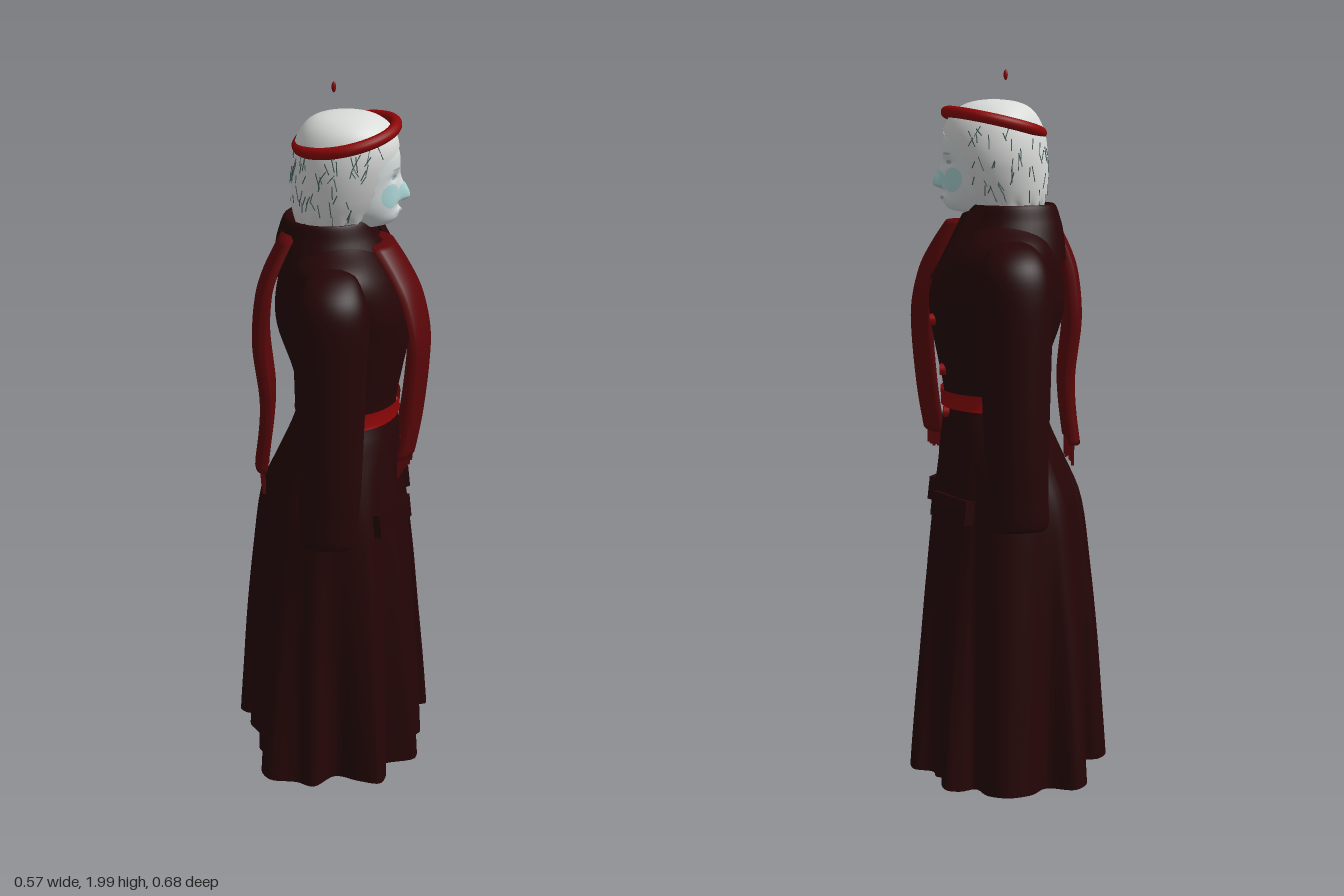
import * as THREE from 'three';

const mat = (name, color) => {
  const m = new THREE.MeshStandardMaterial({ color, side: THREE.DoubleSide });
  m.name = name;
  return m;
};

// Smooth surface from rings that run around u and stack along v
function grid(nu, nv, fn, closed = true) {
  const pos = [], idx = [], cols = closed ? nu : nu + 1;
  for (let j = 0; j <= nv; j++)
    for (let i = 0; i < cols; i++) pos.push(...fn(i / nu, j / nv));
  for (let j = 0; j < nv; j++)
    for (let i = 0; i < nu; i++) {
      const a = j * cols + i, b = j * cols + (i + 1) % cols;
      idx.push(a, b, b + cols, a, b + cols, a + cols);
    }
  const g = new THREE.BufferGeometry();
  g.setAttribute('position', new THREE.Float32BufferAttribute(pos, 3));
  g.setIndex(idx);
  g.computeVertexNormals();
  return g;
}

// Spline through rows of [y, back x, front x, half depth z, centre z]
function profile(rows) {
  const curves = [1, 2, 3, 4].map(k =>
    new THREE.SplineCurve(rows.map(r => new THREE.Vector2(r[k] ?? 0, r[0]))));
  const at = t => [curves[0].getPoint(t).y, ...curves.map(c => c.getPoint(t).x)];
  const atY = y => {
    let lo = 0, hi = 1;
    for (let k = 0; k < 22; k++) {
      const m = (lo + hi) / 2;
      if (curves[0].getPoint(m).y < y) lo = m; else hi = m;
    }
    return at(lo);
  };
  return { at, atY };
}

function ringPoint([y, b, f, h, cz], a, power = 1, bend = 0) {
  const p = v => Math.sign(v) * Math.abs(v) ** power;
  const c = p(Math.cos(a)), s = p(Math.sin(a));
  return [(b + f) / 2 + (f - b) / 2 * c + bend * s * s, y, cz - h * s];
}

function loft(rows, { nu = 40, nv = 32, power = 1, bend = 0, cap = false } = {}) {
  const p = profile(rows);
  return grid(nu, nv, (u, v) => {
    const s = p.at(cap ? THREE.MathUtils.clamp((v * nv - 1) / (nv - 2), 0, 1) : v);
    if (cap && (v === 0 || v === 1)) return [(s[1] + s[2]) / 2 + bend * 0.3, s[0], s[4]];
    return ringPoint(s, u * Math.PI * 2, power, bend);
  });
}

export function createModel() {
  const model = new THREE.Group();
  const coatMat = mat('dark maroon cloth', 0x250506), scarfMat = mat('red scarf', 0x590608);
  const trimMat = mat('bright red trim', 0x8c0607), skinMat = mat('pale skin', 0xd6dcdc);
  const hairMat = mat('white hair', 0xdadcda), tintMat = mat('cyan tint', 0xaed6d8);
  const strandMat = mat('dark teal strands', 0x4a6262), eyeMat = mat('grey features', 0xa3b2b3);
  const add = (name, geo, m, parent = model) => {
    const mesh = new THREE.Mesh(geo, m);
    mesh.name = name;
    parent.add(mesh);
    return mesh;
  };
  let seed = 7;
  const rand = () => (seed = (seed * 16807) % 2147483647) / 2147483647;

  // Coat: fitted bodice flaring into a skirt whose folds deepen toward the hem
  const coat = profile([
    [0.012, -0.25, 0.25, 0.31], [0.2, -0.245, 0.245, 0.3], [0.4, -0.238, 0.235, 0.29], [0.6, -0.225, 0.225, 0.28],
    [0.8, -0.205, 0.208, 0.268], [0.92, -0.16, 0.195, 0.243], [1.02, -0.118, 0.187, 0.21], [1.1, -0.097, 0.178, 0.182],
    [1.2, -0.115, 0.195, 0.192], [1.32, -0.155, 0.218, 0.215], [1.4, -0.16, 0.218, 0.235], [1.48, -0.145, 0.185, 0.245],
    [1.53, -0.125, 0.148, 0.225], [1.57, -0.1, 0.115, 0.15], [1.6, -0.08, 0.1, 0.1]]);
  const hem = new THREE.CatmullRomCurve3([
    [0.235, -0.01], [0.25, -0.06], [0.285, -0.075], [0.28, -0.115], [0.225, -0.13], [0.215, -0.175], [0.175, -0.2],
    [0.205, -0.235], [0.195, -0.265], [0.155, -0.265], [0.11, -0.25], [0.08, -0.31], [0.03, -0.335], [-0.04, -0.31],
    [-0.09, -0.255], [-0.17, -0.282], [-0.205, -0.255], [-0.175, -0.2], [-0.17, -0.15], [-0.2, -0.085], [-0.26, -0.078],
    [-0.287, -0.045], [-0.265, -0.01], [-0.225, 0], [-0.252, 0.035], [-0.22, 0.09], [-0.215, 0.17], [-0.17, 0.21],
    [-0.205, 0.28], [-0.18, 0.315], [-0.1, 0.315], [-0.05, 0.335], [0.01, 0.29], [0.08, 0.32], [0.14, 0.33],
    [0.16, 0.28], [0.15, 0.23], [0.245, 0.21], [0.25, 0.17], [0.215, 0.13], [0.265, 0.07], [0.22, 0.03],
  ].map(([x, z]) => new THREE.Vector3(x, 0, z)), true);
  const hemRow = coat.at(0);
  add('coat', grid(252, 60, (u, v) => {
    const h = hem.getPoint(u), a = Math.atan2(-h.z / hemRow[3], h.x / hemRow[2]);
    const s = coat.at(v), p = ringPoint(s, a), e = ringPoint(hemRow, a);
    const w = THREE.MathUtils.clamp((1 - s[0]) / 0.98, 0, 1) ** 1.1;
    const lift = (0.02 * Math.cos(a) ** 2 + 0.006 * Math.sin(u * 50)) * Math.max(0, 1 - s[0] * 5);
    return [p[0] + (h.x - e[0]) * w, p[1] + lift, p[2] + (h.z - e[2]) * w];
  }), coatMat);

  // Sleeves, sloping in to the shoulders
  for (const side of [-1, 1])
    add(side > 0 ? 'leftSleeve' : 'rightSleeve', loft([
      [0.765, -0.08, 0.065, 0.042, 0.268], [0.785, -0.092, 0.072, 0.05, 0.268], [0.86, -0.09, 0.076, 0.052, 0.27],
      [0.95, -0.09, 0.082, 0.058, 0.27], [1.1, -0.095, 0.088, 0.078, 0.255], [1.3, -0.1, 0.096, 0.082, 0.255],
      [1.4, -0.1, 0.1, 0.08, 0.257], [1.46, -0.092, 0.094, 0.076, 0.252], [1.5, -0.078, 0.08, 0.068, 0.235],
      [1.53, -0.055, 0.06, 0.048, 0.21], [1.545, -0.02, 0.025, 0.02, 0.19],
    ].map(r => [...r.slice(0, 4), r[4] * side]), { cap: true }), coatMat);

  // Turned-down collar and the lapel that shows beside the scarf
  add('collar', loft([[1.48, -0.165, 0.175, 0.18], [1.54, -0.16, 0.15, 0.155], [1.59, -0.15, 0.125, 0.135],
    [1.635, -0.13, 0.105, 0.118], [1.6, -0.1, 0.09, 0.095]]), coatMat);
  const lapelEdge = pts => new THREE.CatmullRomCurve3(pts.map(p => new THREE.Vector3(...p)));
  const inner = lapelEdge([[0.195, 1.44, -0.09], [0.168, 1.51, -0.045], [0.122, 1.6, -0.025]]);
  const outer = lapelEdge([[0.188, 1.435, -0.105], [0.122, 1.52, -0.135], [0.065, 1.63, -0.11]]);
  add('lapel', grid(8, 12, (u, v) => {
    const p = outer.getPoint(v).lerp(inner.getPoint(v), u);
    return [p.x + 0.03 * Math.sin(u * Math.PI), p.y, p.z];
  }, false), coatMat);

  // Belt and buttons
  const beltRow = y => { const s = coat.atY(y); return [y, s[1] - 0.01, s[2] + 0.01, s[3] + 0.01, 0]; };
  add('belt', loft([1.075, 1.085, 1.11, 1.12].map(beltRow), { nv: 6 }), trimMat);
  for (const y of [1.32, 1.18, 1.06]) {
    const s = coat.atY(y);
    const b = add('button', new THREE.CylinderGeometry(0.016, 0.018, 0.022, 12), trimMat);
    b.rotation.z = -Math.PI / 2;
    b.position.set(...ringPoint(s, Math.asin(0.062 / s[3])));
  }

  // Pocket flaps
  for (const side of [-1, 1]) {
    const a = -side * 0.65, s = coat.atY(0.805);
    const pocket = add('pocketFlap', new THREE.BoxGeometry(0.03, 0.068, 0.17), coatMat);
    pocket.position.set(...ringPoint(s, a));
    pocket.rotation.set(0, Math.atan2(Math.sin(a) / s[3], Math.cos(a) / s[2]), 0.12);
  }

  // Scarf ends with fringes, one down the front and one down the back
  const scarfOpt = { power: 0.45, cap: true, nu: 48 };
  add('scarfFront', loft([
    [0.99, 0.205, 0.234, 0.105, 0.09], [1.1, 0.222, 0.252, 0.112, 0.095], [1.25, 0.235, 0.266, 0.118, 0.1],
    [1.35, 0.235, 0.266, 0.118, 0.1], [1.45, 0.21, 0.244, 0.11, 0.09], [1.52, 0.175, 0.21, 0.095, 0.08],
    [1.585, 0.13, 0.168, 0.08, 0.07]], { ...scarfOpt, bend: -0.036 }), scarfMat);
  add('scarfBack', loft([
    [0.945, -0.218, -0.185, 0.1, 0.09], [1.05, -0.205, -0.172, 0.1, 0.09], [1.15, -0.203, -0.168, 0.1, 0.09],
    [1.3, -0.22, -0.182, 0.105, 0.09], [1.42, -0.212, -0.172, 0.1, 0.09], [1.5, -0.19, -0.155, 0.09, 0.085],
    [1.6, -0.14, -0.11, 0.075, 0.07]], { ...scarfOpt, bend: 0.012 }), scarfMat);
  for (const [x, y, len, bend] of [[0.22, 0.99, 0.06, -0.036], [-0.2, 0.945, 0.075, 0.012]])
    for (let i = 0; i < 13; i++) {
      const l = len * (0.75 + 0.25 * rand()), k = i / 6 - 1;
      add('fringe', new THREE.BoxGeometry(0.008, l, 0.007), scarfMat)
        .position.set(x + bend * Math.abs(k) ** 0.9, y - l / 2 + 0.005, 0.09 + k * 0.095);
    }

  // Head with sculpted nose, eye sockets, lips and chin
  const head = profile([
    [1.56, -0.03, 0.09, 0.055, 0.01], [1.605, -0.03, 0.11, 0.05, 0.01], [1.618, -0.03, 0.155, 0.055, 0.01],
    [1.635, -0.04, 0.174, 0.065, 0.01], [1.66, -0.05, 0.174, 0.08, 0.01], [1.69, -0.065, 0.175, 0.09, 0.01],
    [1.73, -0.08, 0.175, 0.097, 0.01], [1.77, -0.09, 0.18, 0.1, 0.01], [1.82, -0.09, 0.174, 0.1, 0.01],
    [1.87, -0.07, 0.14, 0.085, 0.01], [1.9, -0.03, 0.09, 0.04, 0.01]]);
  const gauss = (d, w) => Math.exp(-((d / w) ** 2));
  const sculpt = (s, a) => {
    const p = ringPoint(s, a), [, y, z] = p, d = z - 0.01;
    if (Math.cos(a) > 0) {
      const up = THREE.MathUtils.smoothstep(y, 1.67, 1.69) * (1 - THREE.MathUtils.smoothstep(y, 1.69, 1.765));
      p[0] += 0.029 * up * gauss(d, 0.016) + 0.009 * gauss(d, 0.022) * gauss(y - 1.653, 0.009);
      p[0] -= 0.009 * gauss(Math.abs(d) - 0.036, 0.02) * gauss(y - 1.75, 0.013);
    }
    return p;
  };
  add('head', grid(110, 80, (u, v) => sculpt(head.at(v), u * Math.PI * 2)), skinMat);

  // Thin patches that follow the face: eyes, brows, lips, cheeks and nose tint
  const patch = (name, a0, y0, ra, ry, m, lift = 0.002) =>
    add(name, grid(28, 14, (u, v) => {
      const t = u * Math.PI * 2, r = 1 - v;
      const p = sculpt(head.atY(y0 + Math.sin(t) * ry * r), a0 - Math.cos(t) * ra * r);
      return [p[0] + lift, p[1], p[2] + (p[2] - 0.01) * 0.03];
    }), m);
  for (const s of [-1, 1]) {
    patch('eye', s * 0.38, 1.75, 0.13, 0.006, eyeMat);
    patch('brow', s * 0.4, 1.773, 0.19, 0.003, eyeMat);
    patch('cheek', s * 0.58, 1.702, 0.34, 0.034, tintMat);
  }
  patch('nose tint', 0, 1.702, 0.28, 0.028, tintMat, 0.003);
  patch('lips', 0, 1.653, 0.26, 0.006, eyeMat);

  // Hair shell, open around the face
  const hair = profile([
    [1.615, -0.098, 0.095, 0.09, 0.008], [1.65, -0.11, 0.12, 0.105, 0.008], [1.7, -0.115, 0.148, 0.12, 0.008],
    [1.76, -0.114, 0.168, 0.13, 0.008], [1.82, -0.108, 0.178, 0.128, 0.01], [1.87, -0.088, 0.162, 0.113, 0.01],
    [1.9, -0.06, 0.13, 0.083, 0.01], [1.915, -0.02, 0.09, 0.045, 0.01], [1.921, 0.037, 0.037, 0, 0.01]]);
  const opening = y => 0.85 * (1 - THREE.MathUtils.smoothstep(y, 1.785, 1.845)) + 0.03 * Math.sin(y * 160) * (y < 1.8);
  add('hair', grid(72, 48, (u, v) => {
    const s = hair.at(v), o = opening(s[0]);
    const p = ringPoint(s, o + u * (Math.PI * 2 - 2 * o));
    p[1] += 0.012 * Math.sin(u * 70) * Math.max(0, 1 - v * 6);
    return p;
  }, false), hairMat);

  // Fine dark strands lying on the hair
  for (let i = 0; i < 100; i++) {
    const y = 1.66 + rand() * 0.19, a = 0.9 + rand() * (Math.PI * 2 - 1.8), l = 0.015 + rand() * 0.03;
    const ends = [0, 1].map(k => new THREE.Vector3(...ringPoint(hair.atY(y - k * l), a + k * (rand() - 0.5) * 0.25)));
    const strand = add('strand', new THREE.BoxGeometry(0.0025, 0.0025, ends[0].distanceTo(ends[1])), strandMat);
    strand.position.copy(ends[0]).lerp(ends[1], 0.5);
    strand.lookAt(ends[1]);
  }

  // Tilted hat band and the small floating tip above it
  const band = new THREE.Group();
  band.name = 'hatBand';
  band.position.set(0.036, 1.856, 0.01);
  band.rotation.set(0.07, 0, 0.22);
  add('band', new THREE.TorusGeometry(0.134, 0.016, 14, 56), trimMat, band).rotation.x = Math.PI / 2;
  model.add(band);
  const tip = add('hatTip', new THREE.SphereGeometry(0.006, 10, 8), trimMat);
  tip.scale.y = 2.4;
  tip.position.set(0.002, 1.986, 0.024);

  return model;
}
